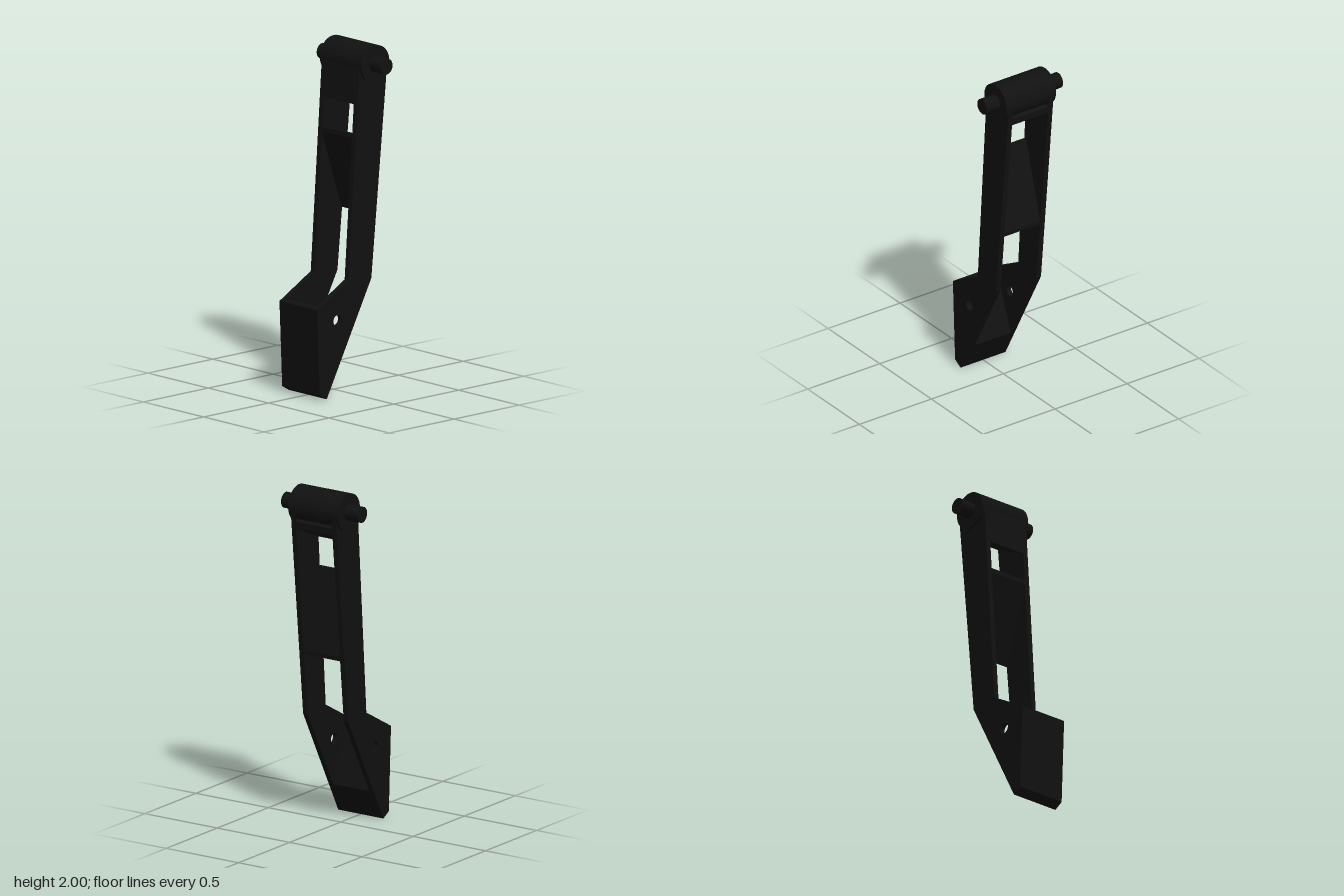
import * as THREE from 'three';

const PIVOT = [0.163, 1.892]; // x, y of the hinge axis
const INNER = 0.125;          // half gap between the side plates
const PLATE = 0.031;          // side plate thickness

export function createModel() {
  const group = new THREE.Group();
  const material = new THREE.MeshStandardMaterial({ color: 0x111111 });

  const add = (name, geometry) => {
    const mesh = new THREE.Mesh(geometry, material);
    mesh.name = name;
    group.add(mesh);
    return mesh;
  };

  // extrude a side profile from z0 over a given depth
  const extrude = (shape, z0, depth) =>
    new THREE.ExtrudeGeometry(shape, { depth, bevelEnabled: false, curveSegments: 24 }).translate(0, 0, z0);

  const polygon = (points) => new THREE.Shape(points.map(([x, y]) => new THREE.Vector2(x, y)));

  // bent side plates with rounded top and a bolt hole
  const side = new THREE.Shape();
  side.moveTo(-0.271, 0.53);
  side.lineTo(-0.25, 0.033);
  side.lineTo(-0.197, 0.002);
  side.lineTo(0.147, 0.65);
  side.absarc(PIVOT[0], PIVOT[1], 0.107, -0.1, 3.07, false);
  side.lineTo(-0.03, 0.665);
  side.closePath();
  const hole = new THREE.Path();
  hole.absarc(-0.113, 0.445, 0.032, 0, Math.PI * 2, true);
  side.holes.push(hole);
  add('leftSidePlate', extrude(side, INNER, PLATE));
  add('rightSidePlate', extrude(side, -INNER - PLATE, PLATE));

  // cross members joining the plates
  const members = {
    footBlock: [[-0.271, 0.53], [-0.25, 0.033], [-0.197, 0.002], [-0.103, 0.18], [-0.246, 0.544]],
    diagonalBrace: [[0.178, 1.01], [0.181, 1.035], [0.046, 1.5], [0.027, 1.5], [0.025, 1.475]],
    upperBrace: [[0.039, 1.67], [0.259, 1.77], [0.263, 1.81], [0.163, 1.88], [0.054, 1.88]],
  };
  for (const [name, points] of Object.entries(members)) {
    add(name, extrude(polygon(points), -INNER, INNER * 2));
  }

  // hinge barrel and its through pin
  const cylinder = (name, radius, length) => {
    const mesh = add(name, new THREE.CylinderGeometry(radius, radius, length, 48).rotateX(Math.PI / 2));
    mesh.position.set(PIVOT[0], PIVOT[1], 0);
  };
  cylinder('hingeBarrel', 0.108, 0.344);
  cylinder('hingePin', 0.046, 0.53);

  return group;
}
